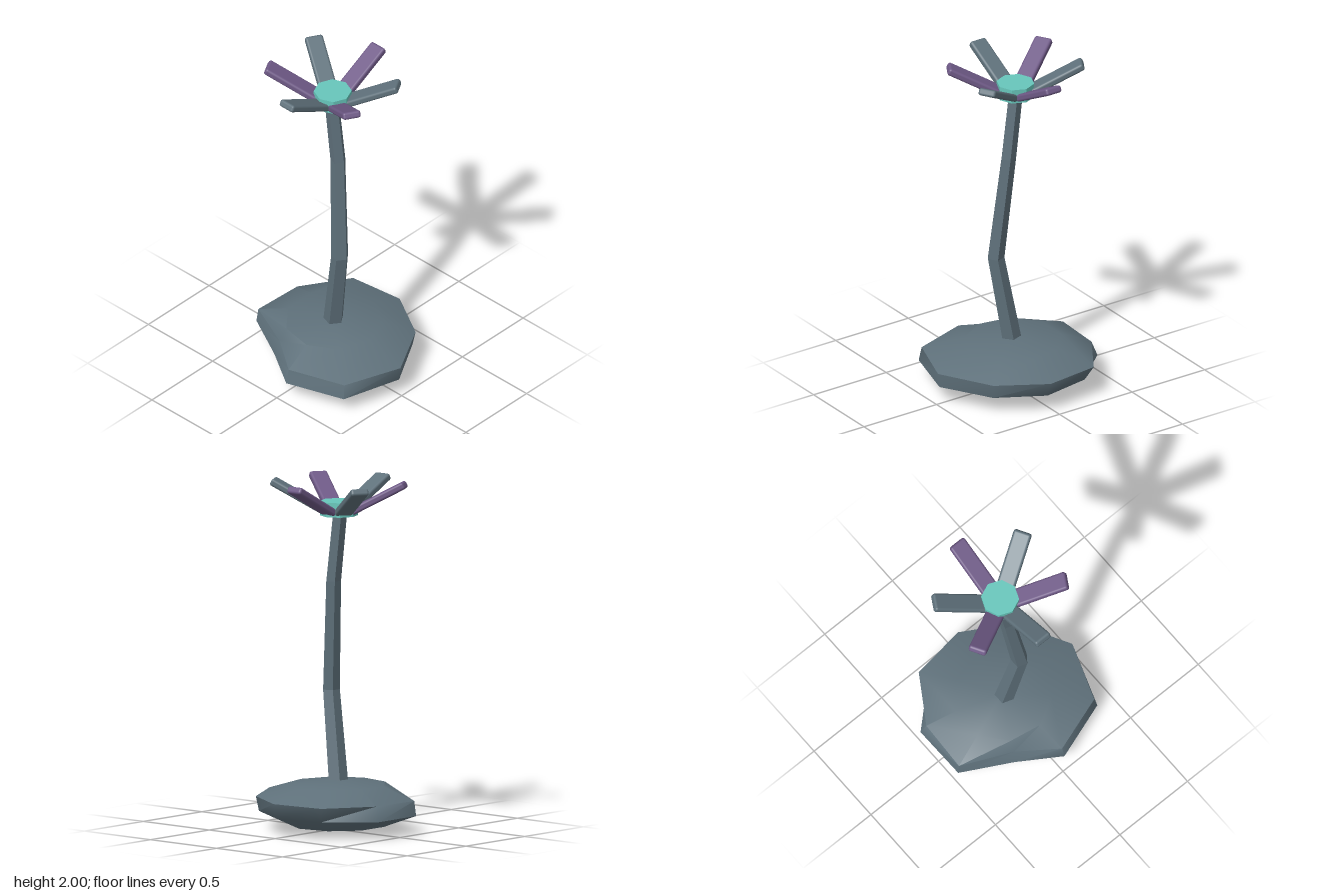
import * as THREE from 'three';
import { toCreasedNormals } from 'three/addons/utils/BufferGeometryUtils.js';
import { RoundedBoxGeometry } from 'three/addons/geometries/RoundedBoxGeometry.js';

const V = (x, y, z) => new THREE.Vector3(x, y, z);

function material(name, color) {
  const m = new THREE.MeshStandardMaterial({ color });
  m.name = name;
  return m;
}

// Joins rings of points (bottom to top, each running from +x towards +z) into a skin.
function loft(rings) {
  const pos = [];
  const tri = (a, b, c) => {
    if (a !== b && b !== c && c !== a) for (const p of [a, b, c]) pos.push(p.x, p.y, p.z);
  };
  for (let i = 0; i < rings.length - 1; i++) {
    const n = rings[i].length;
    for (let k = 0; k < n; k++) {
      const a = rings[i][k], b = rings[i][(k + 1) % n];
      const d = rings[i + 1][k], c = rings[i + 1][(k + 1) % n];
      tri(b, a, d);
      tri(b, d, c);
    }
  }
  const g = new THREE.BufferGeometry();
  g.setAttribute('position', new THREE.Float32BufferAttribute(pos, 3));
  g.computeVertexNormals();
  return g;
}

const circle = (n, r, x, y, z) => Array.from({ length: n }, (_, k) => {
  const t = (k / n) * Math.PI * 2;
  return V(x + r * Math.cos(t), y, z + r * Math.sin(t));
});
const pole = (n, x, y, z) => Array(n).fill(V(x, y, z));

export function createModel() {
  const slate = material('slate', 0x5f717b);
  const purple = material('purple', 0x6f5a87);
  const teal = material('teal', 0x67c6bb);
  const model = new THREE.Group();
  model.name = 'flower';
  const add = (name, geometry, mat, parent = model) => {
    const mesh = new THREE.Mesh(geometry, mat);
    mesh.name = name;
    parent.add(mesh);
    return mesh;
  };

  // Rock base: squashed nine-sided boulder with an uneven rim and one dent
  const lower = [[0.48, 0], [0.38, 0.35], [0.04, 0.465], [-0.2, 0.31], [-0.485, 0.155],
    [-0.49, -0.17], [-0.25, -0.39], [0.04, -0.44], [0.31, -0.29]].map(([x, z]) => V(x, 0.105, z));
  const upper = [[0.49, 0], [0.37, 0.335], [0.04, 0.445], [-0.18, 0.285], [-0.475, 0.15],
    [-0.46, -0.155], [-0.285, -0.43], [0.04, -0.47], [0.32, -0.305]].map(([x, z]) => V(x, 0.19, z));
  const rock = loft([
    pole(9, -0.03, 0, 0),
    circle(9, 0.28, -0.03, 0.03, 0),
    lower,
    upper,
    circle(9, 0.28, -0.03, 0.262, 0),
    pole(9, -0.03, 0.29, 0),
  ]);
  add('rockBase', toCreasedNormals(rock, 0.9), slate);

  // Stem: bent, tapering five-sided stalk
  const stem = [[0.06, -0.033, 0.2, 0.005], [0.0585, -0.018, 0.29, 0.011], [0.051, 0.063, 0.79, 0.045],
    [0.045, 0.006, 1.42, 0], [0.043, -0.04, 1.79, 0]].map(([r, x, y, z]) => circle(5, r, x, y, z));
  add('stem', loft([pole(5, -0.033, 0.2, 0.005), ...stem, pole(5, -0.04, 1.79, 0)]), slate);

  // Flower head: eight-sided centre with six upturned petals in alternating colours
  const head = new THREE.Group();
  head.name = 'flowerHead';
  head.position.set(-0.041, 0, -0.004);
  model.add(head);

  const disc = new THREE.CylinderGeometry(0.108, 0.108, 0.083, 8).toNonIndexed();
  disc.computeVertexNormals();
  add('flowerCentre', disc, teal, head).position.y = 1.8415;

  const petal = new RoundedBoxGeometry(0.35, 0.042, 0.105, 2, 0.014);
  petal.rotateZ(THREE.MathUtils.degToRad(28));
  petal.translate(0.23, 1.905, 0);
  for (let i = 0; i < 6; i++) {
    const mesh = add('petal' + (i + 1), petal, i % 2 ? purple : slate, head);
    mesh.rotation.y = -Math.PI / 2 + (i * Math.PI) / 3;
  }
  return model;
}
